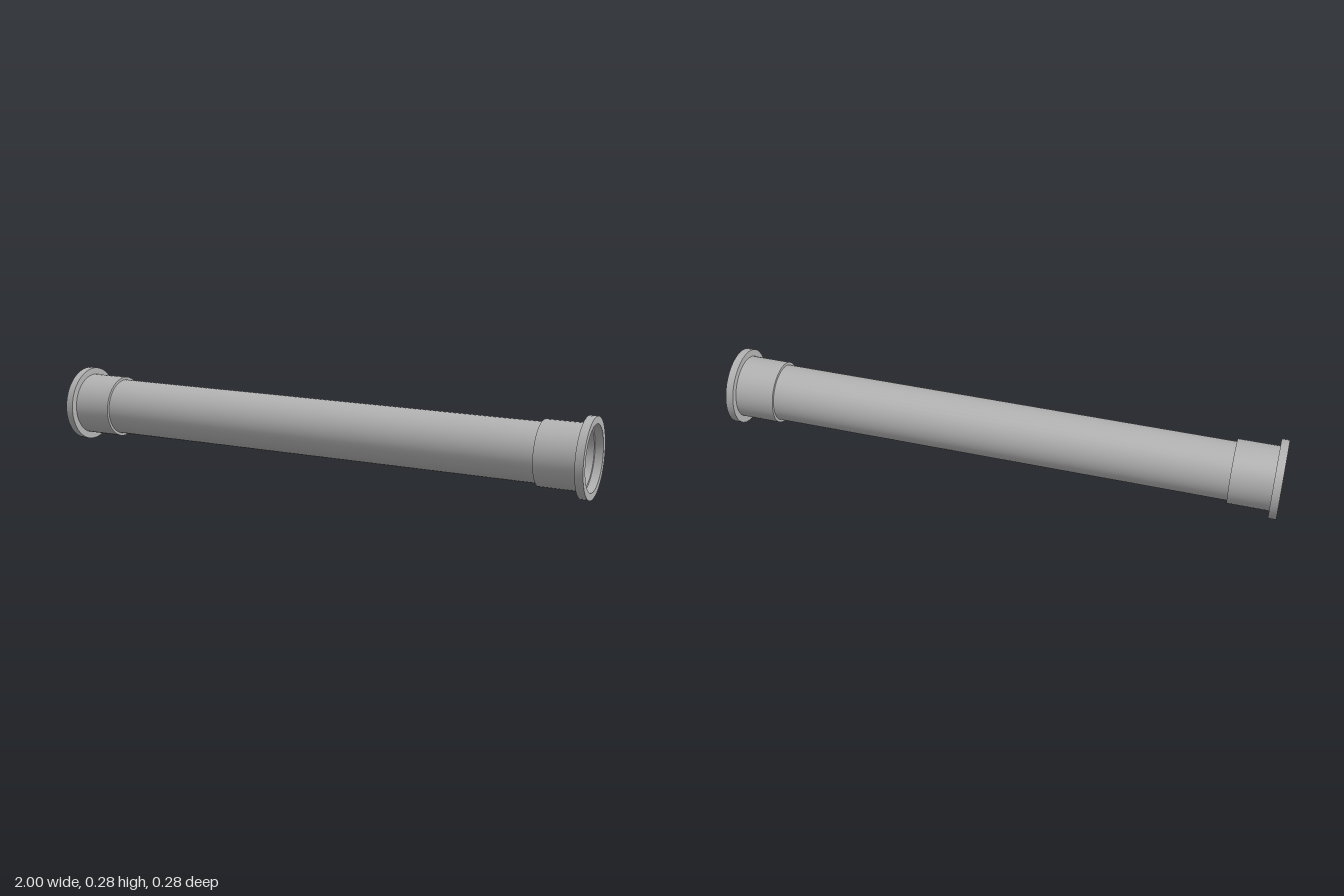
import * as THREE from 'three';
import { toCreasedNormals } from 'three/addons/utils/BufferGeometryUtils.js';

const SIDES = 40;
const PIPE_R = 0.103, SLEEVE_R = 0.113, RIM_R = 0.138;
const PIPE_END = 0.828, RIM_START = 0.972;

// Turned ring along +x from closed [radius, x] profile
function turned(name, profile, material) {
  const points = profile.map(([r, x]) => new THREE.Vector2(r, x));
  const geometry = new THREE.LatheGeometry(points, SIDES).rotateZ(-Math.PI / 2);
  const mesh = new THREE.Mesh(toCreasedNormals(geometry, Math.PI / 6), material);
  mesh.name = name;
  return mesh;
}

export function createModel() {
  const model = new THREE.Group();
  model.name = 'pipe';
  const grey = new THREE.MeshStandardMaterial({ color: 0xb4b4b4 });
  grey.name = 'plain grey';

  // Long straight body, closed where it meets the sockets
  const body = new THREE.Mesh(
    new THREE.CylinderGeometry(PIPE_R, PIPE_R, PIPE_END * 2, SIDES).rotateZ(-Math.PI / 2), grey);
  body.name = 'pipeBody';
  model.add(body);

  // Matching socket at each end: hollow sleeve and a wider rim with a stepped mouth
  for (const side of [1, -1]) {
    const socket = new THREE.Group();
    socket.name = side > 0 ? 'leftSocket' : 'rightSocket';
    socket.add(turned('sleeve', [
      [PIPE_R, PIPE_END], [SLEEVE_R, PIPE_END], [SLEEVE_R, RIM_START],
      [PIPE_R, RIM_START], [PIPE_R, PIPE_END],
    ], grey));
    socket.add(turned('rim', [
      [SLEEVE_R, RIM_START], [RIM_R, RIM_START], [RIM_R, 1],
      [SLEEVE_R, 1], [SLEEVE_R, RIM_START],
    ], grey));
    if (side < 0) socket.rotation.y = Math.PI;
    model.add(socket);
  }

  model.children.forEach((part) => { part.position.y = RIM_R; });
  return model;
}
